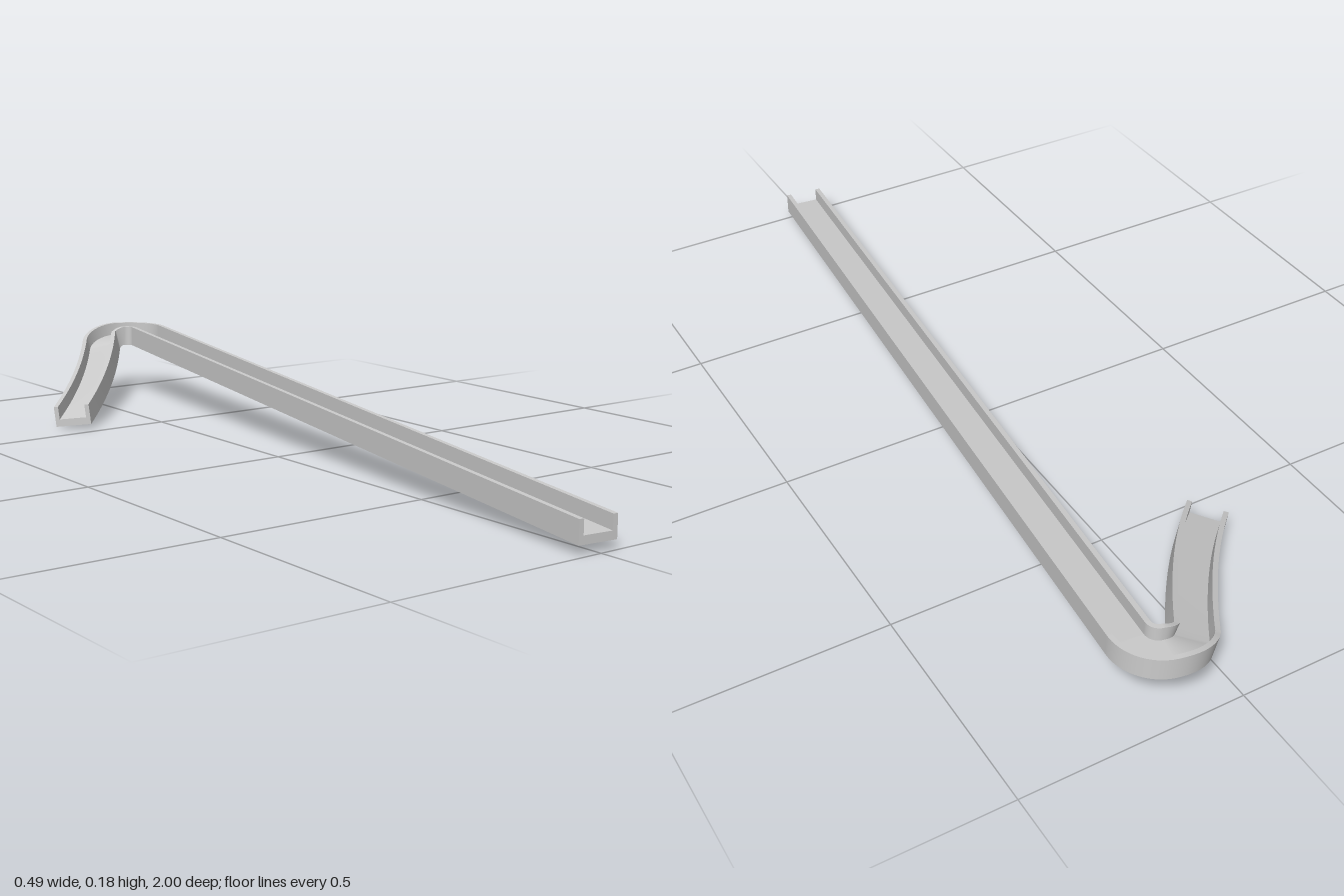
import * as THREE from 'three';

const HALF = 0.0455, WALL = 0.011, FLOOR = 0.018, HEIGHT = 0.05;

// U-shaped section, counter-clockwise: [sideways, up]
const PROFILE = [
  [-HALF, 0], [HALF, 0], [HALF, HEIGHT], [HALF - WALL, HEIGHT],
  [HALF - WALL, FLOOR], [WALL - HALF, FLOOR], [WALL - HALF, HEIGHT], [-HALF, HEIGHT],
];
const CAP = [[0, 1, 4], [0, 4, 5], [1, 2, 3], [1, 3, 4], [0, 5, 6], [0, 6, 7]];

// Stations along the ramp: floor centre, travel direction (x, z) and bank angle
function stations() {
  const list = [];
  const add = (x, y, z, dx, dz, roll) => {
    const l = Math.hypot(dx, dz);
    list.push({ p: new THREE.Vector3(x, y, z), dx: dx / l, dz: dz / l, roll });
  };
  const rad = THREE.MathUtils.degToRad;
  const top = 0.133, turnEnd = 0.114, bank = rad(14);

  // long straight, climbing to the back
  add(-0.004, 0.02, 0.995, 0.108, -0.994, 0);

  // tight hairpin, tipping outwards in its second half
  const n = 28;
  for (let i = 0; i <= n; i++) {
    const a = rad(-6.2 + 153.2 * i / n);
    const s = Math.max(0, (a - rad(80)) / rad(67));
    const e = Math.pow(s, 1.6);
    add(0.137 + 0.0625 * Math.cos(a), top + (turnEnd - top) * e, -0.892 - 0.0625 * Math.sin(a),
      -Math.sin(a), -Math.cos(a), bank * e);
  }

  // short descending run with a gentle counter-curve
  const last = list[list.length - 1].p;
  const curve = new THREE.QuadraticBezierCurve(
    new THREE.Vector2(last.x, last.z), new THREE.Vector2(-0.055, -0.714), new THREE.Vector2(-0.214, -0.568));
  for (let i = 1; i <= 16; i++) {
    const t = i / 16, q = curve.getPoint(t), d = curve.getTangent(t);
    add(q.x, THREE.MathUtils.lerp(turnEnd, 0.0055, t), q.y, d.x, d.y, THREE.MathUtils.lerp(bank, rad(7), t));
  }
  return list;
}

// Sweep the section; each side is its own strip so its edges stay sharp
function sweep(list) {
  const rings = list.map(({ p, dx, dz, roll }) => {
    const c = Math.cos(roll), s = Math.sin(roll);
    const side = new THREE.Vector3(-dz * c, -s, dx * c);
    const up = new THREE.Vector3(-dz * s, c, dx * s);
    return PROFILE.map(([u, v]) => p.clone().addScaledVector(side, u).addScaledVector(up, v));
  });
  const pos = [], index = [];
  const push = (v) => pos.push(v.x, v.y, v.z);
  for (let k = 0; k < PROFILE.length; k++) {
    const base = pos.length / 3;
    rings.forEach((ring, i) => {
      push(ring[k]);
      push(ring[(k + 1) % PROFILE.length]);
      if (i === 0) return;
      const a = base + 2 * (i - 1), b = a + 1, d = a + 2, c = a + 3;
      index.push(a, d, c, a, c, b);
    });
  }
  // end faces
  [rings[0], rings[rings.length - 1]].forEach((ring, end) => {
    const base = pos.length / 3;
    ring.forEach(push);
    for (const [a, b, c] of CAP) {
      if (end) index.push(base + a, base + c, base + b);
      else index.push(base + a, base + b, base + c);
    }
  });
  const geo = new THREE.BufferGeometry();
  geo.setAttribute('position', new THREE.Float32BufferAttribute(pos, 3));
  geo.setIndex(index);
  geo.computeVertexNormals();
  return geo;
}

export function createModel() {
  const group = new THREE.Group();
  group.name = 'channelRamp';
  const channel = new THREE.Mesh(sweep(stations()), new THREE.MeshStandardMaterial({ color: 0xcccccc }));
  channel.name = 'channel';
  group.add(channel);
  return group;
}
